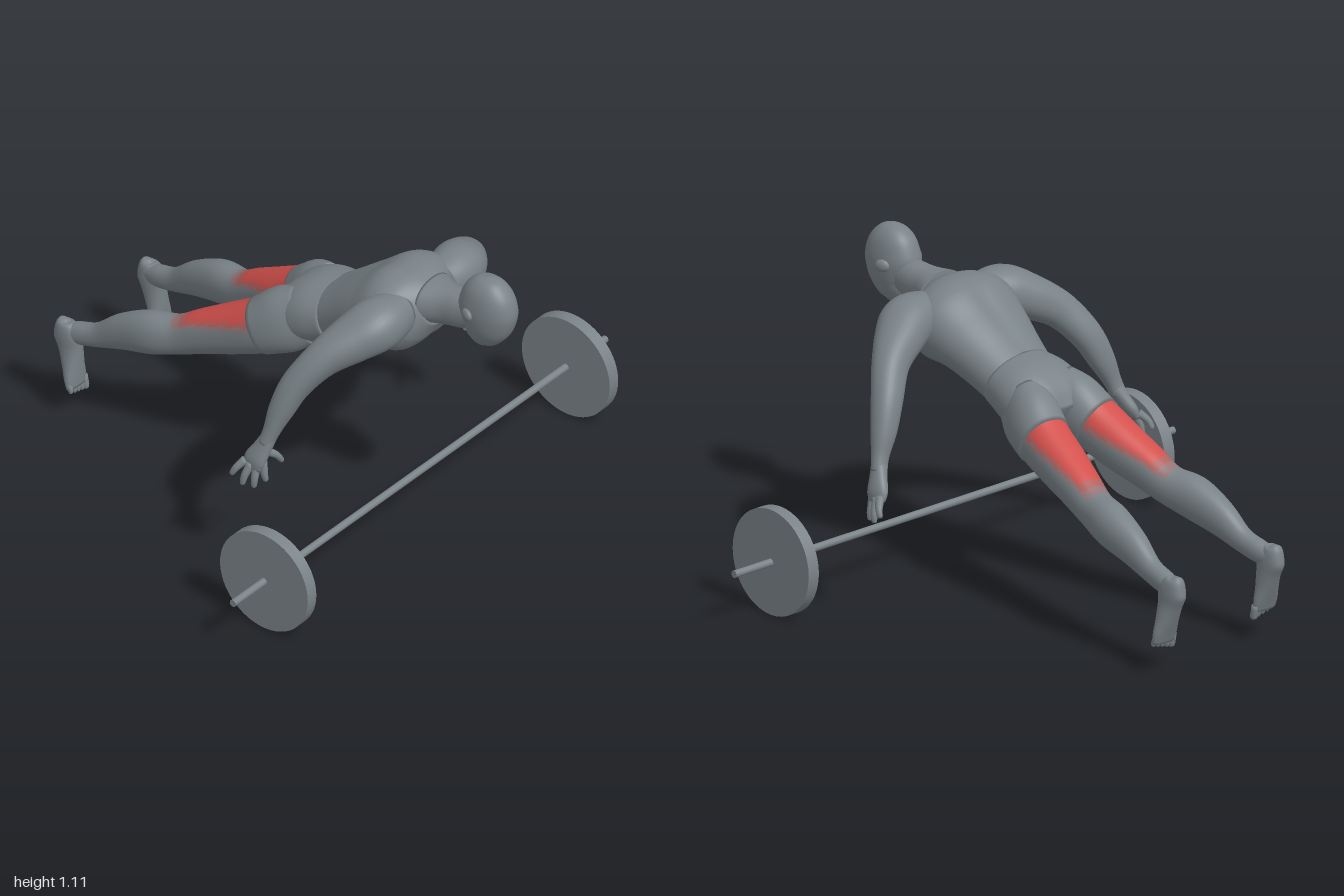
import * as THREE from 'three';

const grey = new THREE.MeshStandardMaterial({ color: 0x798287 });
grey.name = 'grey';
const red = new THREE.MeshStandardMaterial({ color: 0xd2504c });
red.name = 'red';
const softRed = new THREE.MeshStandardMaterial({ color: 0xb0615f });
softRed.name = 'soft red';
const faintRed = new THREE.MeshStandardMaterial({ color: 0x957476 });
faintRed.name = 'faint red';

const V = (x, y, z) => new THREE.Vector3(x, y, z);
const bump = (x, c, w) => Math.exp(-(((x - c) / w) ** 2));
const BACK = Math.PI / 2, FRONT = Math.PI * 1.5;

// Smooth loft through sections [x, y, z, half size along ref, half size across]
function loft(name, pts, { ref = V(-1, 0, 0), from = 0, to = 1, rows = 24, sides = 24,
  grow = 0, shape = () => 1, paint = () => 0, materials = [grey] } = {}) {
  const path = new THREE.CatmullRomCurve3(pts.map(p => V(p[0], p[1], p[2])), false, 'catmullrom');
  const sizes = new THREE.CatmullRomCurve3(pts.map(p => V(p[3], p[4], 0)), false, 'catmullrom');
  const pos = [], lists = materials.map(() => []);
  const soft = v => Math.sign(v) * Math.abs(v) ** 0.92;
  for (let i = 0; i <= rows; i++) {
    const t = from + (to - from) * i / rows;
    const c = path.getPoint(t), s = sizes.getPoint(t), T = path.getTangent(t);
    const S = ref.clone().addScaledVector(T, -ref.dot(T)).normalize();
    const N = T.clone().cross(S);
    for (let j = 0; j < sides; j++) {
      const a = j / sides * Math.PI * 2, k = shape(t, a);
      const p = c.clone().addScaledVector(S, soft(Math.cos(a)) * (s.x + grow) * k)
        .addScaledVector(N, soft(Math.sin(a)) * (s.y + grow) * k);
      pos.push(p.x, p.y, p.z);
    }
  }
  for (let i = 0; i < rows; i++) for (let j = 0; j < sides; j++) {
    const a = i * sides + j, b = i * sides + (j + 1) % sides;
    const t = from + (to - from) * (i + 0.5) / rows;
    lists[paint(t, (j + 0.5) / sides * Math.PI * 2)].push(a, b, a + sides, b, b + sides, a + sides);
  }
  // End caps
  const c0 = path.getPoint(from), c1 = path.getPoint(to), n = pos.length / 3;
  pos.push(c0.x, c0.y, c0.z, c1.x, c1.y, c1.z);
  for (let j = 0; j < sides; j++) {
    const k = (j + 1) % sides, e = rows * sides;
    lists[0].push(n, k, j, n + 1, e + j, e + k);
  }
  const geo = new THREE.BufferGeometry();
  geo.setAttribute('position', new THREE.Float32BufferAttribute(pos, 3));
  geo.setIndex(lists.flat());
  let start = 0;
  lists.forEach((l, i) => { geo.addGroup(start, l.length, i); start += l.length; });
  geo.computeVertexNormals();
  const mesh = new THREE.Mesh(geo, materials.length > 1 ? materials : materials[0]);
  mesh.name = name;
  return mesh;
}

function blob(name, x, y, z, rx, ry, rz, tilt = 0) {
  const m = new THREE.Mesh(new THREE.SphereGeometry(1, 20, 14), grey);
  m.scale.set(rx, ry, rz);
  m.position.set(x, y, z);
  m.rotation.x = tilt;
  m.name = name;
  return m;
}

function makeTrunk() {
  const g = new THREE.Group();
  g.name = 'trunk';
  // Chest, back and belly, with a spine groove, pectorals and abdominals
  g.add(loft('torso', [
    [0, .92, .57, .085, .075], [0, .90, .51, .18, .125], [0, .872, .44, .205, .147],
    [0, .828, .345, .185, .124], [0, .775, .25, .16, .109], [0, .725, .165, .142, .1]], {
    rows: 50, sides: 64,
    shape: (t, a) => 1 - 0.06 * bump(a, BACK, .16) * bump(t, .5, .4)
      + 0.06 * bump(t, .42, .15) * (bump(a, FRONT - .5, .38) + bump(a, FRONT + .5, .38))
      - 0.05 * bump(a, FRONT, .12)
      + 0.02 * Math.cos(t * 42) * bump(t, .82, .18) * bump(a, FRONT, .55) }));
  // Shorts around the pelvis
  g.add(loft('shortsPelvis', [
    [0, .73, .175, .146, .104], [0, .702, .085, .162, .118], [0, .665, .02, .155, .108],
    [0, .63, -.035, .1, .07]], {
    rows: 20, sides: 48,
    shape: (t, a) => 1 - 0.07 * bump(a, BACK, .2) * t }));
  g.add(loft('neck', [[0, .95, .74, .055, .06], [0, .937, .68, .06, .068],
    [0, .93, .62, .068, .072], [0, .925, .55, .1, .08]]));
  return g;
}

function makeHead() {
  const g = new THREE.Group();
  g.name = 'head';
  // Skull tapering down to the chin, the face looks at the floor
  g.add(loft('skull', [
    [0, 1.111, .79, .003, .004], [0, 1.098, .79, .038, .05], [0, 1.06, .789, .064, .088],
    [0, 1.0, .788, .076, .109], [0, .95, .783, .074, .103], [0, .91, .77, .065, .086],
    [0, .88, .752, .05, .064], [0, .862, .74, .034, .046], [0, .855, .738, .004, .005]],
    { rows: 40, sides: 36 }));
  g.add(blob('nose', 0, .885, .797, .014, .028, .024, -.4));
  g.add(blob('lips', 0, .866, .755, .022, .013, .015));
  g.add(blob('brow', 0, .918, .838, .046, .016, .016));
  for (const s of [1, -1]) {
    const ear = blob('ear', s * .08, .985, .757, .013, .022, .027);
    ear.rotation.y = s * .35;
    g.add(ear);
    g.add(blob('cheek', s * .035, .902, .79, .024, .024, .034));
  }
  return g;
}

function makeLeg(s) {
  const g = new THREE.Group();
  g.name = s > 0 ? 'leftLeg' : 'rightLeg';
  const pts = [
    [.08, .695, .07, .065, .1], [.098, .655, 0, .084, .112], [.118, .605, -.085, .086, .098],
    [.135, .55, -.2, .08, .088], [.152, .505, -.3, .07, .078], [.168, .46, -.395, .062, .069],
    [.19, .435, -.5, .063, .077], [.2, .395, -.61, .05, .065], [.208, .343, -.71, .036, .044],
    [.215, .32, -.79, .035, .04], [.222, .312, -.84, .031, .034]]
    .map(p => [p[0] * s, ...p.slice(1)]);
  g.add(loft('shortsLeg', pts, { to: .2, rows: 14, sides: 40, grow: .004 }));
  // Bare leg with the hamstrings highlighted, fading at the edges
  const paint = (t, a) => {
    const d = Math.abs(a - BACK), w = 1.18 - (t - .2) * 2;
    if (t < .43 && d < w) return 1;
    if (t < .46 && d < w + .16) return 2;
    return t < .5 && d < w + .32 ? 3 : 0;
  };
  g.add(loft('bareLeg', pts, { from: .19, rows: 80, sides: 56, paint,
    materials: [grey, red, softRed, faintRed] }));
  // Foot hanging from the ankle, heel up
  const fx = .224 * s;
  g.add(loft('foot', [
    [fx, .358, -.85, .006, .008], [fx, .345, -.85, .027, .033], [fx, .305, -.835, .035, .056],
    [fx, .255, -.823, .036, .045], [fx + s * .003, .2, -.812, .042, .034],
    [fx + s * .005, .15, -.802, .05, .023], [fx + s * .005, .115, -.796, .048, .015]]));
  for (let i = 0; i < 5; i++) {
    const x = fx + s * (-.036 + i * .02), r = i ? .009 : .013, y = .086 + i * .005;
    g.add(loft('toe', [[x, .135, -.797, r, r], [x, y + .012, -.79, r, r],
      [x, y, -.788, r * .75, r * .75], [x, y - .005, -.788, .002, .002]], { rows: 8, sides: 10 }));
  }
  return g;
}

function makeArm(s) {
  const g = new THREE.Group();
  g.name = s > 0 ? 'leftArm' : 'rightArm';
  const side = pts => pts.map(p => [p[0] * s, ...p.slice(1)]);
  const ref = V(0, 0, 1);
  g.add(loft('arm', side([
    [.1, .9, .49, .07, .075], [.21, .9, .48, .094, .088], [.295, .868, .44, .084, .078],
    [.385, .812, .385, .062, .064], [.453, .722, .328, .052, .055], [.495, .632, .298, .043, .046],
    [.527, .555, .281, .029, .032], [.545, .505, .268, .026, .028]]),
    { ref, rows: 50, sides: 32 }));
  g.add(loft('palm', side([[.535, .53, .275, .026, .028], [.555, .485, .26, .034, .025],
    [.572, .445, .245, .042, .023], [.582, .415, .238, .036, .014]]), { ref, rows: 12 }));
  // Spread fingers, then the thumb: root, knuckle and tip
  const fingers = [
    [[.565, .44, .272], [.568, .398, .28], [.565, .372, .284]],
    [[.575, .43, .255], [.592, .385, .258], [.595, .352, .257]],
    [[.583, .43, .236], [.605, .388, .226], [.61, .356, .22]],
    [[.588, .438, .215], [.612, .41, .195], [.619, .385, .182]],
    [[.548, .475, .27], [.515, .45, .288], [.494, .42, .295]]];
  for (const f of fingers) {
    const [a, b, c] = f, end = c.map((v, i) => v + (v - b[i]) * .15);
    g.add(loft(f === fingers[4] ? 'thumb' : 'finger', side([[...a, .015, .015],
      [...b, .0125, .0125], [...c, .009, .009], [...end, .002, .002]]),
      { ref, rows: 12, sides: 12 }));
  }
  return g;
}

function makeBarbell() {
  const g = new THREE.Group();
  g.name = 'barbell';
  const rod = (name, r, len, x, sides) => {
    const m = new THREE.Mesh(new THREE.CylinderGeometry(r, r, len, sides), grey);
    m.rotation.z = Math.PI / 2;
    m.position.x = x;
    m.name = name;
    g.add(m);
  };
  rod('bar', .013, 2, 0, 24);
  for (const s of [1, -1]) rod('weightPlate', .188, .046, s * .81, 64);
  g.position.set(0, .192, .49);
  return g;
}

export function createModel() {
  const model = new THREE.Group();
  model.name = 'athleteWithBarbell';
  model.add(makeTrunk(), makeHead(), makeBarbell());
  for (const s of [1, -1]) model.add(makeLeg(s), makeArm(s));
  return model;
}
